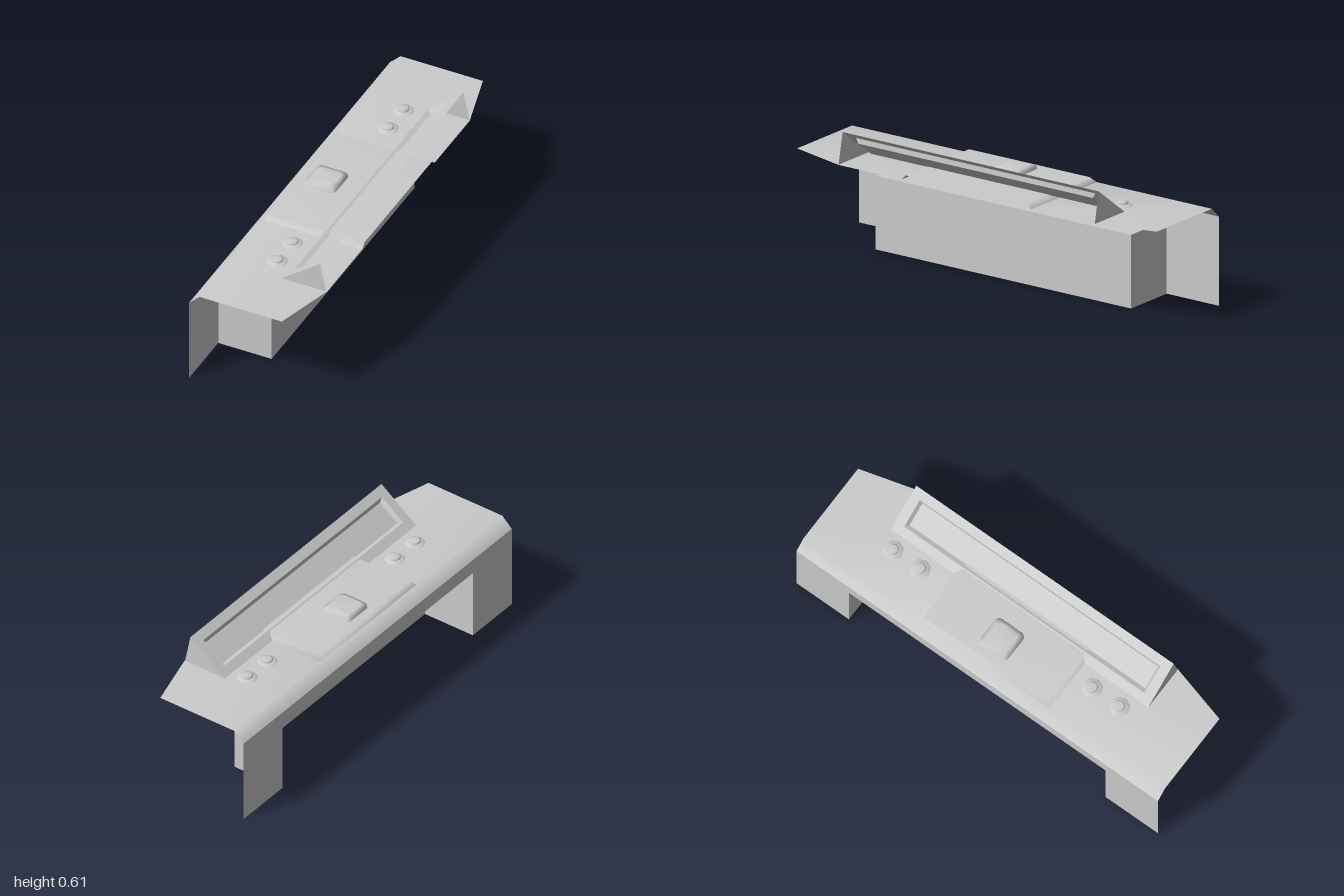
import * as THREE from 'three';

const material = new THREE.MeshStandardMaterial({ color: 0xcccccc, side: THREE.DoubleSide });

// Open sheet from corner points and polygons (fanned into triangles).
function sheet(name, points, faces, smooth = false) {
  let geo = new THREE.BufferGeometry();
  geo.setAttribute('position', new THREE.Float32BufferAttribute(points.flat(), 3));
  const index = [];
  for (const f of faces) for (let i = 1; i < f.length - 1; i++) index.push(f[0], f[i], f[i + 1]);
  geo.setIndex(index);
  if (!smooth) geo = geo.toNonIndexed();
  geo.computeVertexNormals();
  return part(name, geo);
}

function part(name, geo) {
  const mesh = new THREE.Mesh(geo, material);
  mesh.name = name;
  return mesh;
}

const DECK = 0.468, BACK = -0.272, EDGE = 0.27, LEG = 0.71, MID = 0.36;

// Upright wall on the user's side, with a knee opening
function kneeWall() {
  const outline = [[-1, 0], [-LEG, 0], [-LEG, 0.345], [LEG, 0.345], [LEG, 0], [1, 0], [1, 0.418], [-1, 0.418]];
  const geo = new THREE.ShapeGeometry(new THREE.Shape(outline.map(p => new THREE.Vector2(...p))));
  geo.rotateY(-Math.PI / 2).translate(BACK, 0, 0);
  return part('kneeWall', geo);
}

// Recess behind the opening: two sides, far wall and ceiling
function kneeRecess() {
  const x = -0.006, h = 0.345, pts = [];
  for (const y of [0, h]) pts.push([BACK, y, -LEG], [x, y, -LEG], [x, y, LEG], [BACK, y, LEG]);
  return sheet('kneeRecess', pts, [[1, 0, 4, 5], [2, 1, 5, 6], [3, 2, 6, 7], [4, 7, 6, 5]]);
}

// Desk top with rolled edge and a gap for the raised middle
function deskTop() {
  const zs = [-1, -MID, MID, 1];
  const pts = [
    ...zs.map(z => [BACK, 0.418, z]), ...zs.map(z => [-0.22, DECK, z]),
    [0.19, DECK, -1], [EDGE, DECK, -LEG], [EDGE, DECK, -MID],
    [EDGE, DECK, MID], [EDGE, DECK, LEG], [0.19, DECK, 1],
  ];
  const faces = [0, 1, 2].map(i => [i, i + 1, i + 5, i + 4]);
  faces.push([4, 5, 10, 9, 8], [6, 7, 13, 12, 11]);
  return sheet('deskTop', pts, faces, true);
}

// Raised middle panel, smooth shaded, open below and at the far edge
function raisedPanel() {
  const y = 0.492, z = 0.335;
  const pts = [
    [-0.22, DECK, -MID], [-0.22, DECK, MID], [EDGE, DECK, MID], [EDGE, DECK, -MID],
    [-0.2, y, -z], [-0.2, y, z], [EDGE, y, z], [EDGE, y, -z],
  ];
  return sheet('raisedPanel', pts, [[4, 5, 6, 7], [0, 1, 5, 4], [1, 2, 6, 5], [3, 0, 4, 7]], true);
}

// Tilted display with a sunken screen and triangular ends
function display() {
  const group = new THREE.Group();
  group.name = 'display';
  const low = [0.045, DECK], high = [0.237, 0.613], halfZ = 0.712;
  const len = Math.hypot(high[0] - low[0], high[1] - low[1]);
  const c = (high[0] - low[0]) / len, s = (high[1] - low[1]) / len;
  const pts = [], faces = [];
  for (const [margin, depth] of [[0, 0], [0.047, 0], [0.06, 0.02]]) {
    const u0 = margin, u1 = len - margin, z = halfZ - margin;
    for (const [u, w] of [[u0, -z], [u0, z], [u1, z], [u1, -z]])
      pts.push([low[0] + u * c + depth * s, low[1] + u * s - depth * c, w]);
  }
  for (const r of [0, 4])
    for (let i = 0; i < 4; i++) {
      const j = (i + 1) % 4;
      faces.push([r + i, r + j, r + 4 + j, r + 4 + i]);
    }
  faces.push([8, 9, 10, 11]);
  group.add(sheet('screenFrame', pts, faces));
  for (const side of [-1, 1]) {
    const tri = [[...low, side * halfZ], [0.267, DECK, side * halfZ], [...high, side * halfZ]];
    group.add(sheet('displayEnd', tri, [side > 0 ? [0, 1, 2] : [0, 2, 1]]));
  }
  return group;
}

// Hollow rounded-square button lofted from rings
function button() {
  const pts = [], faces = [], n = 16;
  const rings = [[0.462, 0.082], [0.503, 0.077], [0.512, 0.057]];
  for (const [y, half] of rings)
    for (let i = 0; i < n; i++) {
      const corner = Math.floor(i / 4), a = (corner + (i % 4) / 3) * Math.PI / 2, r = 0.022;
      const sx = corner === 0 || corner === 3 ? 1 : -1, sz = corner < 2 ? 1 : -1;
      pts.push([-0.09 + sx * (half - r) + r * Math.cos(a), y, sz * (half - r) + r * Math.sin(a)]);
    }
  for (let k = 0; k < 2; k++)
    for (let i = 0; i < n; i++) {
      const j = (i + 1) % n;
      faces.push([k * n + j, k * n + i, k * n + n + i, k * n + n + j]);
    }
  faces.push(Array.from({ length: n }, (_, i) => 3 * n - 1 - i));
  return sheet('button', pts, faces, true);
}

// Small dial: eight-sided flared base with a low domed cap
function dial(z) {
  const group = new THREE.Group();
  group.name = 'dial';
  const lathe = pts => new THREE.LatheGeometry(pts.map(p => new THREE.Vector2(...p)), 8);
  group.add(
    part('dialBase', lathe([[0.059, 0.46], [0.04, 0.474], [0.026, 0.475]])),
    part('dialCap', lathe([[0.027, 0.474], [0.027, 0.482], [0.02, 0.485], [0, 0.486]])),
  );
  group.position.set(-0.028, 0, z);
  return group;
}

export function createModel() {
  const model = new THREE.Group();
  model.name = 'controlDesk';
  model.add(kneeWall(), kneeRecess(), deskTop(), raisedPanel(), display(), button());
  for (const z of [-0.645, -0.495, 0.457, 0.607]) model.add(dial(z));
  return model;
}
